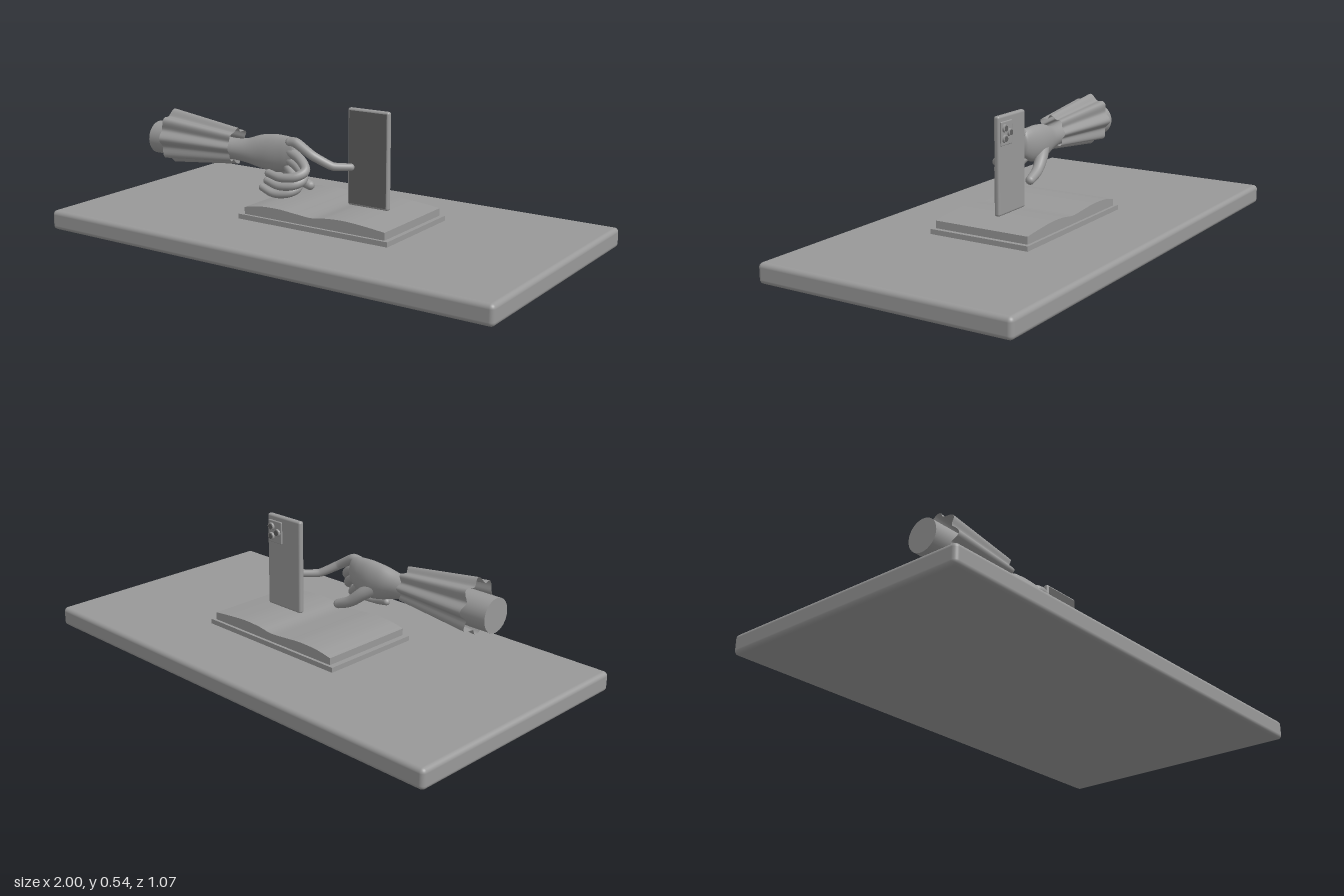
import * as THREE from 'three';
import { mergeVertices } from 'three/addons/utils/BufferGeometryUtils.js';
import { RoundedBoxGeometry } from 'three/addons/geometries/RoundedBoxGeometry.js';

const grey = new THREE.MeshStandardMaterial({ color: 0x999999 });
grey.name = 'matte grey';
const clothGrey = new THREE.MeshStandardMaterial({ color: 0x999999, side: THREE.DoubleSide });
clothGrey.name = 'cloth grey';
const dark = new THREE.MeshStandardMaterial({ color: 0x606060 });
dark.name = 'dark glass';

function add(parent, name, geometry, material, x = 0, y = 0, z = 0) {
  const mesh = new THREE.Mesh(geometry, material);
  mesh.name = name;
  mesh.position.set(x, y, z);
  parent.add(mesh);
  return mesh;
}

// Skin of rings along x; ring(t, angle) returns a point, angle 0 is up
function loft(ring, steps, sides) {
  const pos = [], idx = [];
  for (let i = 0; i <= steps; i++)
    for (let j = 0; j <= sides; j++) pos.push(...ring(i / steps, (j / sides) * Math.PI * 2));
  const n = sides + 1;
  for (let i = 0; i < steps; i++)
    for (let j = 0; j < sides; j++) {
      const a = i * n + j;
      idx.push(a, a + 1, a + n, a + 1, a + n + 1, a + n);
    }
  const g = new THREE.BufferGeometry();
  g.setAttribute('position', new THREE.Float32BufferAttribute(pos, 3));
  g.setIndex(idx);
  const merged = mergeVertices(g, 1e-5);
  merged.computeVertexNormals();
  return merged;
}

// Tapered tube with round ends
function finger(parent, name, points, r0, r1, tension = 0.5) {
  const group = new THREE.Group();
  group.name = name;
  parent.add(group);
  const curve = new THREE.CatmullRomCurve3(points.map(p => new THREE.Vector3(...p)), false, 'catmullrom', tension);
  const steps = 32, sides = 14;
  const g = new THREE.TubeGeometry(curve, steps, r0, sides);
  const p = g.attributes.position, v = new THREE.Vector3();
  for (let i = 0; i <= steps; i++) {
    const c = curve.getPointAt(i / steps);
    const k = 1 + (r1 / r0 - 1) * (i / steps);
    for (let j = 0; j <= sides; j++) {
      const n = i * (sides + 1) + j;
      v.fromBufferAttribute(p, n).sub(c).multiplyScalar(k).add(c);
      p.setXYZ(n, v.x, v.y, v.z);
    }
  }
  add(group, name + 'Shaft', g, grey);
  add(group, name + 'Base', new THREE.SphereGeometry(r0, 14, 10), grey, ...points[0]);
  add(group, name + 'Tip', new THREE.SphereGeometry(r1, 14, 10), grey, ...points[points.length - 1]);
}

function buildBook(root) {
  const book = new THREE.Group();
  book.name = 'book';
  root.add(book);
  add(book, 'bookCover', new THREE.BoxGeometry(0.69, 0.02, 0.434), grey, 0.06, 0.096, 0);
  // Page block with two gently arched halves
  const s = new THREE.Shape();
  s.moveTo(-0.262, 0.106);
  s.lineTo(0.386, 0.106);
  s.lineTo(0.386, 0.136);
  s.splineThru([[0.3, 0.145], [0.21, 0.151], [0.13, 0.148], [0.06, 0.139],
    [-0.02, 0.144], [-0.1, 0.15], [-0.19, 0.147], [-0.262, 0.134]].map(p => new THREE.Vector2(...p)));
  s.closePath();
  const pages = new THREE.ExtrudeGeometry(s, { depth: 0.41, bevelEnabled: false, curveSegments: 32 });
  add(book, 'pages', pages, grey, 0, 0, -0.205);
}

function buildPhone(root) {
  const phone = new THREE.Group();
  phone.name = 'phone';
  root.add(phone);
  add(phone, 'phoneBody', new RoundedBoxGeometry(0.185, 0.385, 0.024, 4, 0.009), grey, 0.1875, 0.3475, 0);
  add(phone, 'screen', new THREE.BoxGeometry(0.168, 0.368, 0.003), dark, 0.1875, 0.3475, 0.0115);
  add(phone, 'cameraPlate', new RoundedBoxGeometry(0.076, 0.092, 0.008, 3, 0.0035), grey, 0.232, 0.472, -0.014);
  for (const [x, y] of [[0.249, 0.492], [0.249, 0.452], [0.215, 0.472]]) {
    const barrel = add(phone, 'lensBarrel', new THREE.CylinderGeometry(0.015, 0.016, 0.01, 20), grey, x, y, -0.021);
    barrel.rotation.x = -Math.PI / 2;
    const glass = add(phone, 'lensGlass', new THREE.CylinderGeometry(0.011, 0.011, 0.002, 20), dark, x, y, -0.0262);
    glass.rotation.x = -Math.PI / 2;
  }
}

function buildArm(root) {
  const arm = new THREE.Group();
  arm.name = 'arm';
  root.add(arm);

  const stump = add(arm, 'forearm', new THREE.CylinderGeometry(0.067, 0.067, 0.14, 32), grey, -0.685, 0.347, 0.14);
  stump.rotation.z = -Math.PI / 2;

  // Fluted sleeve, open at both ends
  const lerp = THREE.MathUtils.lerp;
  add(arm, 'sleeve', loft((t, a) => {
    const wave = lerp(0.011, 0.007, t) * Math.cos(8 * a);
    return [
      lerp(-0.677, -0.345, t) + 0.004 * Math.cos(8 * a),
      lerp(0.362, 0.358, t) + (lerp(0.101, 0.066, t) + wave) * Math.cos(a),
      lerp(0.136, 0.138, t) + (lerp(0.09, 0.063, t) + wave) * Math.sin(a),
    ];
  }, 8, 96), clothGrey);

  // Forearm into wrist and palm: x, centre y, centre z, half height, half depth
  const sections = [
    [-0.62, 0.347, 0.14, 0.067, 0.067], [-0.48, 0.346, 0.138, 0.052, 0.052],
    [-0.36, 0.343, 0.132, 0.043, 0.045], [-0.3, 0.343, 0.125, 0.05, 0.044],
    [-0.24, 0.345, 0.115, 0.068, 0.044], [-0.18, 0.345, 0.11, 0.076, 0.043],
    [-0.12, 0.35, 0.11, 0.07, 0.036], [-0.08, 0.358, 0.112, 0.053, 0.026],
    [-0.063, 0.36, 0.113, 0.001, 0.001],
  ];
  const spine = new THREE.CatmullRomCurve3(sections.map(s => new THREE.Vector3(s[0], s[1], s[2])));
  const girth = new THREE.CatmullRomCurve3(sections.map(s => new THREE.Vector3(s[3], s[4], 0)));
  add(arm, 'palm', loft((t, a) => {
    const c = spine.getPoint(t), r = girth.getPoint(t);
    return [c.x, c.y + r.x * Math.cos(a), c.z + r.y * Math.sin(a)];
  }, 40, 28), grey);

  // Pointing finger reaching the screen
  finger(arm, 'indexFinger', [[-0.1, 0.398, 0.118], [-0.07, 0.399, 0.118], [0.0, 0.358, 0.113],
    [0.068, 0.317, 0.075], [0.122, 0.312, 0.03]], 0.021, 0.015, 0.25);

  // Three curled fingers, each lower and shorter than the last
  for (let i = 0; i < 3; i++) {
    const y = -0.034 * i, x = -0.008 * i * i;
    finger(arm, ['middleFinger', 'ringFinger', 'littleFinger'][i], [
      [-0.11, 0.366 + y, 0.12], [-0.045 + x, 0.342 + y, 0.133], [0.0 + x, 0.308 + y, 0.16],
      [-0.02 + x, 0.287 + y, 0.198], [-0.08 + x, 0.28 + y, 0.213], [-0.145 + x, 0.286 + y * 0.9, 0.2],
    ], 0.021 - 0.001 * i, 0.016 - 0.001 * i);
  }

  finger(arm, 'thumb', [[-0.22, 0.33, 0.105], [-0.165, 0.29, 0.077], [-0.11, 0.247, 0.063],
    [-0.05, 0.222, 0.058]], 0.03, 0.019);
}

export function createModel() {
  const root = new THREE.Group();
  root.name = 'handAndPhoneDisplay';
  add(root, 'tableTop', new RoundedBoxGeometry(2, 0.08, 1.07, 4, 0.018), grey, 0, 0.04, 0);
  buildBook(root);
  buildPhone(root);
  buildArm(root);
  return root;
}
